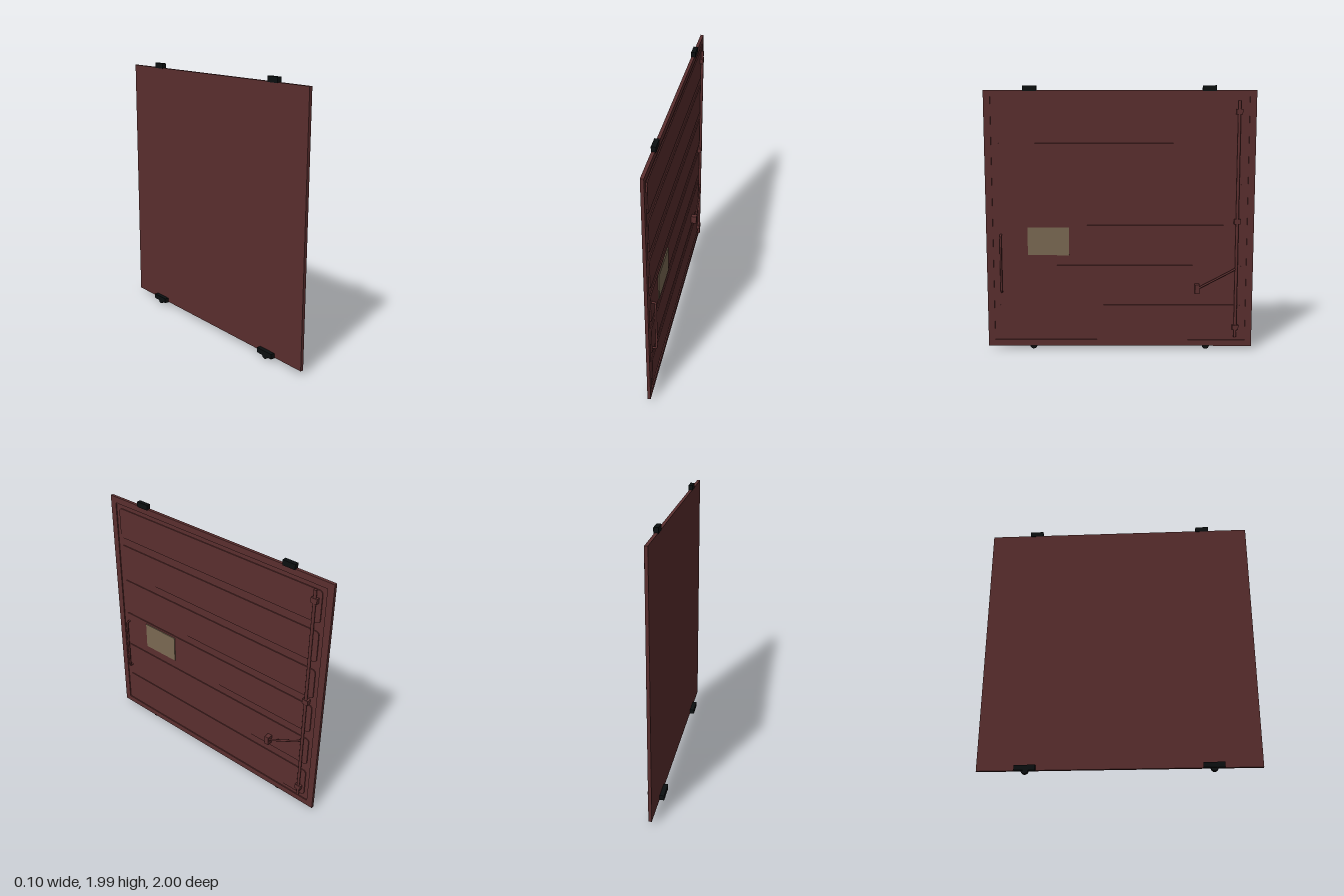
import * as THREE from 'three';

export function createModel() {
  const group = new THREE.Group();
  group.name = 'slidingDoor';
  const paint = new THREE.MeshStandardMaterial({ color: 0x5a2e2e });
  paint.name = 'oxide red paint';
  const iron = new THREE.MeshStandardMaterial({ color: 0x0b0f10 });
  iron.name = 'black iron';
  const tan = new THREE.MeshStandardMaterial({ color: 0x7a6852 });
  tan.name = 'tan placard';

  const add = (name, geometry, material = paint) => {
    const mesh = new THREE.Mesh(geometry, material);
    mesh.name = name;
    group.add(mesh);
    return mesh;
  };
  // Box given by its limits on each axis
  const box = (name, [x0, x1], [y0, y1], [z0, z1], material) =>
    add(name, new THREE.BoxGeometry(x1 - x0, y1 - y0, z1 - z0), material)
      .position.set((x0 + x1) / 2, (y0 + y1) / 2, (z0 + z1) / 2);
  // Rectangle in the door plane (u = -z), with optional corner radius
  const rect = (path, w, y0, y1, r = 0) => {
    if (!r) return path.moveTo(-w, y0).lineTo(w, y0).lineTo(w, y1).lineTo(-w, y1).closePath();
    path.moveTo(-w + r, y0).lineTo(w - r, y0);
    path.absarc(w - r, y0 + r, r, -Math.PI / 2, 0);
    path.absarc(w - r, y1 - r, r, 0, Math.PI / 2);
    path.absarc(-w + r, y1 - r, r, Math.PI / 2, Math.PI);
    path.absarc(-w + r, y0 + r, r, Math.PI, Math.PI * 1.5);
    return path;
  };
  // Extrude a door-plane shape outward along +x
  const plate = (name, shape, x, depth) => {
    const g = new THREE.ExtrudeGeometry(shape, { depth, bevelEnabled: false, curveSegments: 6 });
    return add(name, g.rotateY(Math.PI / 2).translate(x, 0, 0));
  };

  // Door sheet and its raised rim
  box('doorSheet', [-0.018, -0.003], [0.03, 1.955], [-1, 1]);
  const rim = rect(new THREE.Shape(), 1, 0.03, 1.955);
  rim.holes.push(rect(new THREE.Path(), 0.95, 0.077, 1.908));
  plate('doorRim', rim, -0.003, 0.008);

  // Six pressed panels
  for (let i = 0; i < 6; i++) {
    const y = 0.11 + i * 0.305;
    plate('pressedPanel', rect(new THREE.Shape(), 0.918, y, y + 0.24, 0.025), -0.003, 0.007);
  }

  // Placard
  box('placard', [0.004, 0.011], [0.733, 0.943], [0.38, 0.69], tan);

  // Locking bar with brackets
  const bar = add('lockingBar', new THREE.CylinderGeometry(0.011, 0.011, 1.775, 12));
  bar.position.set(0.019, 0.9925, -0.873);
  for (const y of [0.18, 0.99, 1.8]) {
    box('barBracket', [-0.003, 0.03], [y - 0.019, y + 0.019], [-0.897, -0.85]);
  }

  // Locking lever and its catch
  const path = new THREE.CurvePath();
  const points = [[0.019, 0.635, -0.873], [0.035, 0.61, -0.82], [0.036, 0.485, -0.585]]
    .map((p) => new THREE.Vector3(...p));
  path.add(new THREE.LineCurve3(points[0], points[1]));
  path.add(new THREE.LineCurve3(points[1], points[2]));
  add('lockingLever', new THREE.TubeGeometry(path, 12, 0.008, 8));
  box('leverCatch', [-0.003, 0.048], [0.447, 0.515], [-0.597, -0.563]);

  // Grab handle
  const grip = new THREE.CurvePath();
  const ends = [[0, 0.453], [0.024, 0.453], [0.032, 0.461], [0.032, 0.879], [0.024, 0.887], [0, 0.887]]
    .map(([x, y]) => new THREE.Vector3(x, y, 0.89));
  for (let i = 0; i < 5; i++) grip.add(new THREE.LineCurve3(ends[i], ends[i + 1]));
  add('grabHandle', new THREE.TubeGeometry(grip, 60, 0.008, 8));

  // Top guides and bottom rollers
  for (const z of [-0.655, 0.66]) {
    box('topGuide', [-0.02, 0.012], [1.95, 1.99], [z - 0.05, z + 0.05], iron);
    box('rollerBracket', [-0.05, -0.014], [0.025, 0.062], [z - 0.075, z + 0.075], iron);
    const wheel = new THREE.CylinderGeometry(0.027, 0.027, 0.03, 16).rotateZ(Math.PI / 2);
    add('rollerWheel', wheel, iron).position.set(-0.029, 0.027, z);
  }
  return group;
}
